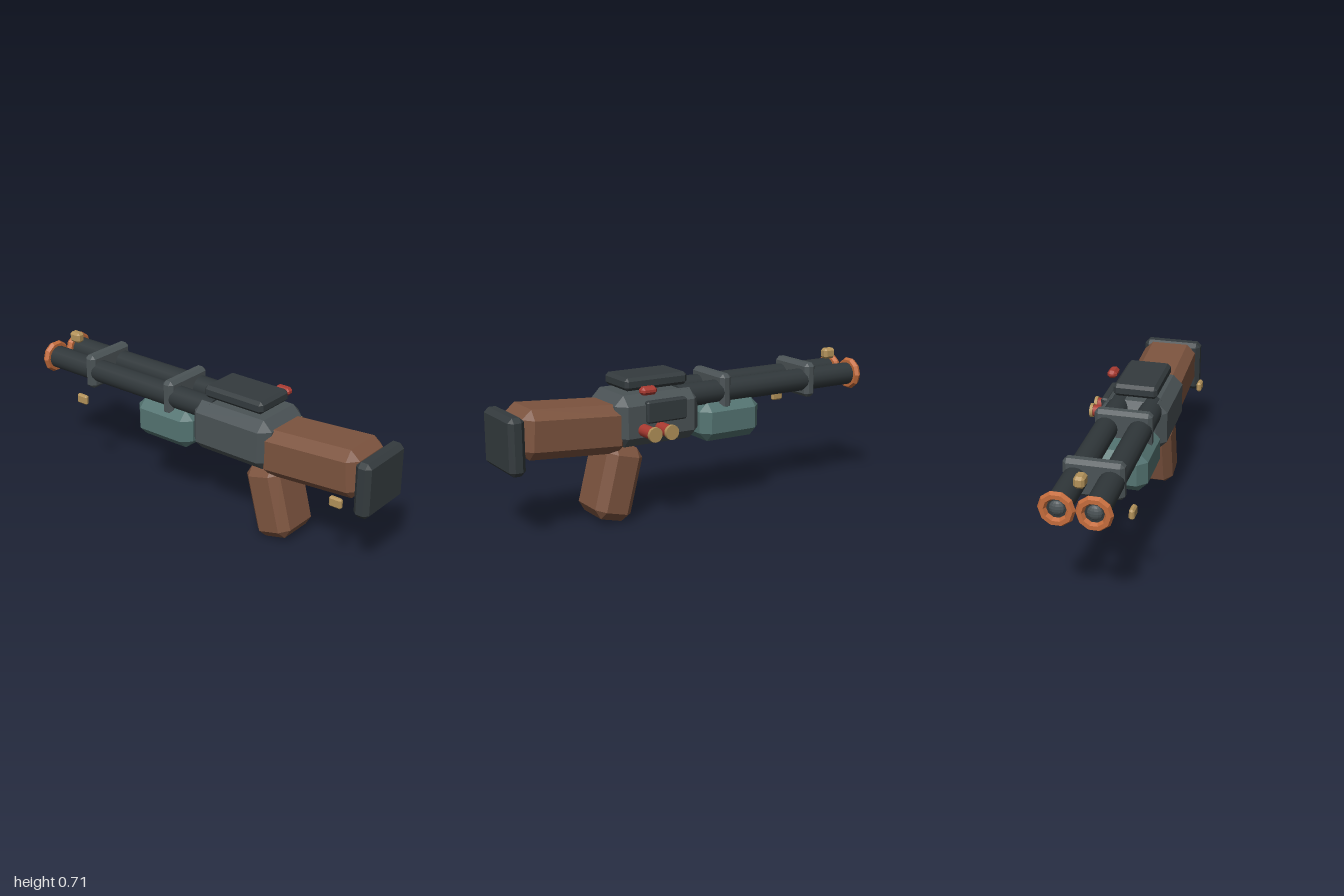
import * as THREE from 'three';
import { ConvexGeometry } from 'three/addons/geometries/ConvexGeometry.js';

const CX = -0.045; // centre line of the body

const paint = (color, flatShading = false) => new THREE.MeshStandardMaterial({ color, flatShading });
const wood = paint(0x7d543f, true);
const steel = paint(0x4b5356, true);
const darkSteel = paint(0x343b3e, true);
const barrelSteel = paint(0x30373a);
const teal = paint(0x547472, true);
const red = paint(0xa93a31, true);
const shellRed = paint(0xa93a31);
const brass = paint(0xb3925a, true);
const shellBrass = paint(0xb3925a);
const copper = paint(0xc46c3c, true);

// Box with every edge cut by one flat chamfer c
function chamferBox(w, h, d, c) {
  const points = [];
  for (const sx of [-1, 1]) for (const sy of [-1, 1]) for (const sz of [-1, 1]) {
    for (let axis = 0; axis < 3; axis++) {
      const half = [w / 2, h / 2, d / 2].map((v, i) => (i === axis ? v : v - c));
      points.push(new THREE.Vector3(sx * half[0], sy * half[1], sz * half[2]));
    }
  }
  return new ConvexGeometry(points);
}

export function createModel() {
  const model = new THREE.Group();
  model.name = 'doubleBarrelGun';

  function add(name, geometry, material, x, y, z, tilt = 0) {
    const mesh = new THREE.Mesh(geometry, material);
    mesh.name = name;
    mesh.position.set(x, y, z);
    mesh.rotation.x = tilt;
    model.add(mesh);
    return mesh;
  }

  // Body, stock and grip
  add('receiver', chamferBox(0.33, 0.25, 0.46, 0.048), steel, CX, 0.498, 0.225);
  add('stock', chamferBox(0.28, 0.235, 0.54, 0.045), wood, CX, 0.477, 0.65, -0.07);
  add('buttPad', chamferBox(0.31, 0.272, 0.08, 0.022), darkSteel, CX, 0.456, 0.96);
  add('grip', chamferBox(0.256, 0.365, 0.197, 0.042), wood, -0.043, 0.191, 0.422, -0.25);
  add('forend', chamferBox(0.31, 0.198, 0.347, 0.045), teal, CX, 0.434, -0.194);
  add('topPlate', chamferBox(0.22, 0.062, 0.342, 0.016), darkSteel, CX, 0.667, 0.217);
  add('sidePanel', chamferBox(0.04, 0.106, 0.218, 0.008), darkSteel, 0.12, 0.54, 0.205);
  add('safetySwitch', chamferBox(0.05, 0.04, 0.085, 0.014), red, 0.13, 0.648, 0.308);

  // Twin barrels with flared muzzle rings
  const barrelLength = 1.075;
  const barrel = new THREE.CylinderGeometry(0.058, 0.058, barrelLength, 16).rotateX(Math.PI / 2);
  const ring = new THREE.TorusGeometry(0.064, 0.02, 6, 10);
  const plug = new THREE.SphereGeometry(0.036, 12, 8).scale(1, 1, 0.6);
  for (const x of [CX - 0.082, CX + 0.082]) {
    add('barrel', barrel, barrelSteel, x, 0.576, 0.1 - barrelLength / 2);
    add('muzzleRing', ring, copper, x, 0.576, -0.982);
    add('muzzlePlug', plug, steel, x, 0.576, -0.972);
  }

  // Bands clamping the barrels together
  const band = chamferBox(0.28, 0.177, 0.064, 0.018);
  for (const z of [-0.163, -0.685]) add('barrelBand', band, steel, CX, 0.578, z);

  // Sight and sling mounts
  add('frontSight', chamferBox(0.05, 0.055, 0.068, 0.012), brass, CX, 0.678, -0.902);
  const mount = chamferBox(0.026, 0.05, 0.066, 0.008);
  add('frontSlingMount', mount, brass, -0.221, 0.439, -0.7);
  add('rearSlingMount', mount, brass, -0.221, 0.381, 0.853);

  // Spare shells on the left side
  const shell = new THREE.CylinderGeometry(0.03, 0.03, 0.12, 16).rotateZ(Math.PI / 2);
  const cap = new THREE.CylinderGeometry(0.036, 0.036, 0.016, 16).rotateZ(Math.PI / 2);
  for (const z of [0.236, 0.326]) {
    add('shell', shell, shellRed, 0.16, 0.457, z);
    add('shellCap', cap, shellBrass, 0.224, 0.457, z);
  }

  return model;
}
